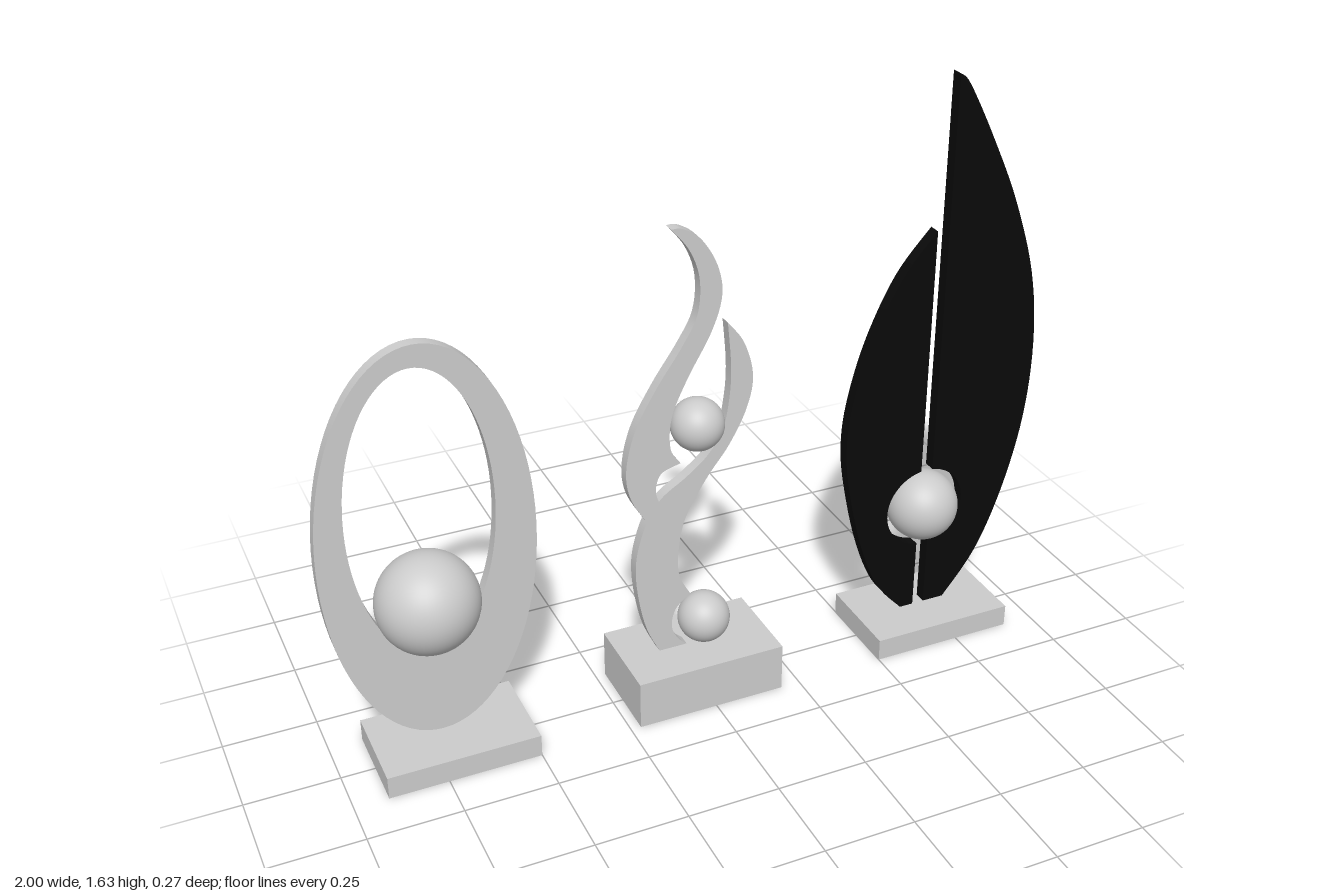
import * as THREE from 'three';
import { toCreasedNormals } from 'three/addons/utils/BufferGeometryUtils.js';

export function createModel() {
  const model = new THREE.Group();
  const grey = new THREE.MeshStandardMaterial({ color: 0xcccccc });
  const black = new THREE.MeshStandardMaterial({ color: 0x0a0a0a });

  function add(parent, name, geometry, material = grey) {
    const mesh = new THREE.Mesh(geometry, material);
    mesh.name = name;
    parent.add(mesh);
    return mesh;
  }
  function sculpture(name) {
    const group = new THREE.Group();
    group.name = name;
    model.add(group);
    return group;
  }
  function plinth(parent, x0, x1, height) {
    add(parent, 'plinth', new THREE.BoxGeometry(x1 - x0, height, 0.256))
      .position.set((x0 + x1) / 2, height / 2, 0);
  }
  function ball(parent, name, x, y, r) {
    add(parent, name, new THREE.SphereGeometry(r, 48, 32)).position.set(x, y, 0);
  }
  // Flat plate cut from a shape, between two depths
  function plate(shape, z0, z1) {
    const geometry = new THREE.ExtrudeGeometry(shape, { depth: z1 - z0, bevelEnabled: false, curveSegments: 40 });
    geometry.translate(0, 0, z0);
    return toCreasedNormals(geometry, 0.5);
  }
  // Sampled smooth curve through [x, y] points
  function smooth(points) {
    const curve = new THREE.SplineCurve(points.map(([x, y]) => new THREE.Vector2(x, y)));
    return curve.getPoints((points.length - 1) * 6);
  }
  // Closed outline of smooth runs that meet at sharp corners
  function outline(...runs) {
    const points = runs.flatMap((run) => smooth(run).slice(0, -1));
    return new THREE.Shape(points);
  }

  // Oval ring holding a ball
  const oval = sculpture('ovalSculpture');
  plinth(oval, -0.909, -0.5, 0.063);
  const ring = new THREE.Shape();
  ring.absellipse(-0.72, 0.621, 0.28, 0.555, 0, Math.PI * 2, false);
  const opening = new THREE.Path();
  opening.absellipse(-0.733, 0.717, 0.19, 0.4, 0, Math.PI * 2, true);
  ring.holes.push(opening);
  add(oval, 'ovalRing', plate(ring, -0.036, -0.004));
  ball(oval, 'ovalBall', -0.735, 0.468, 0.134);

  // Two intertwined flames with two balls
  const flames = sculpture('flameSculpture');
  plinth(flames, -0.222, 0.195, 0.137);
  const upper = outline(
    [[-0.072, 1.352], [-0.024, 1.29], [0.003, 1.21], [-0.003, 1.115], [-0.045, 1.035], [-0.115, 0.933],
      [-0.174, 0.826], [-0.2, 0.719], [-0.19, 0.634], [-0.147, 0.553]],
    [[-0.147, 0.553], [-0.11, 0.6]],
    [[-0.11, 0.6], [-0.12, 0.64], [-0.104, 0.687], [-0.05, 0.705]],
    [[-0.05, 0.705], [-0.078, 0.755], [-0.073, 0.845], [-0.03, 0.944], [0.035, 1.06], [0.064, 1.155],
      [0.051, 1.238], [0.008, 1.313], [-0.04, 1.348], [-0.072, 1.352]],
  );
  const lower = outline(
    [[-0.115, 0.137], [-0.152, 0.222], [-0.174, 0.329], [-0.179, 0.425], [-0.163, 0.505], [-0.136, 0.57],
      [-0.099, 0.618], [-0.035, 0.66], [0.024, 0.709], [0.067, 0.773], [0.086, 0.864], [0.09, 0.955], [0.08, 1.077]],
    [[0.08, 1.077], [0.126, 1.013], [0.152, 0.917], [0.136, 0.826], [0.088, 0.73], [0.024, 0.644],
      [-0.035, 0.543], [-0.056, 0.452], [-0.056, 0.366], [-0.024, 0.297]],
    [[-0.024, 0.297], [-0.067, 0.259], [-0.078, 0.206], [-0.061, 0.163], [-0.035, 0.137]],
    [[-0.035, 0.137], [-0.115, 0.137]],
  );
  add(flames, 'upperFlame', plate(upper, -0.024, 0.008));
  add(flames, 'lowerFlame', plate(lower, -0.024, 0.008));
  ball(flames, 'upperBall', 0, 0.805, 0.071);
  ball(flames, 'lowerBall', 0.019, 0.208, 0.071);

  // Pair of dark leaves parted around a ball
  const leaves = sculpture('leafSculpture');
  plinth(leaves, 0.5, 0.912, 0.063);
  const cx = 0.686, cy = 0.393, gap = 0.0175, cut = 0.118;
  // side: -1 for the short leaf, 1 for the tall one; edge runs from foot to tip
  function leaf(side, edge) {
    const points = smooth(edge);
    const start = Math.acos(gap / cut);
    for (let i = 0; i <= 32; i++) {
      const a = start * (1 - i / 16);
      points.push(new THREE.Vector2(cx + side * cut * Math.cos(a), cy + cut * Math.sin(a)));
    }
    points.push(new THREE.Vector2(cx + side * gap, 0.072));
    return plate(new THREE.Shape(points), -0.017, 0.017);
  }
  add(leaves, 'shortLeaf', leaf(-1, [[0.628, 0.072], [0.548, 0.168], [0.489, 0.313], [0.447, 0.489],
    [0.43, 0.623], [0.441, 0.757], [0.489, 0.933], [0.57, 1.104], [cx - gap, 1.222]]), black);
  add(leaves, 'tallLeaf', leaf(1, [[0.767, 0.072], [0.864, 0.206], [0.938, 0.393], [0.987, 0.612],
    [0.998, 0.837], [0.971, 1.05], [0.901, 1.265], [0.815, 1.452], [0.735, 1.602], [cx + gap, 1.634]]), black);
  ball(leaves, 'leafBall', 0.687, cy, 0.1);

  return model;
}
